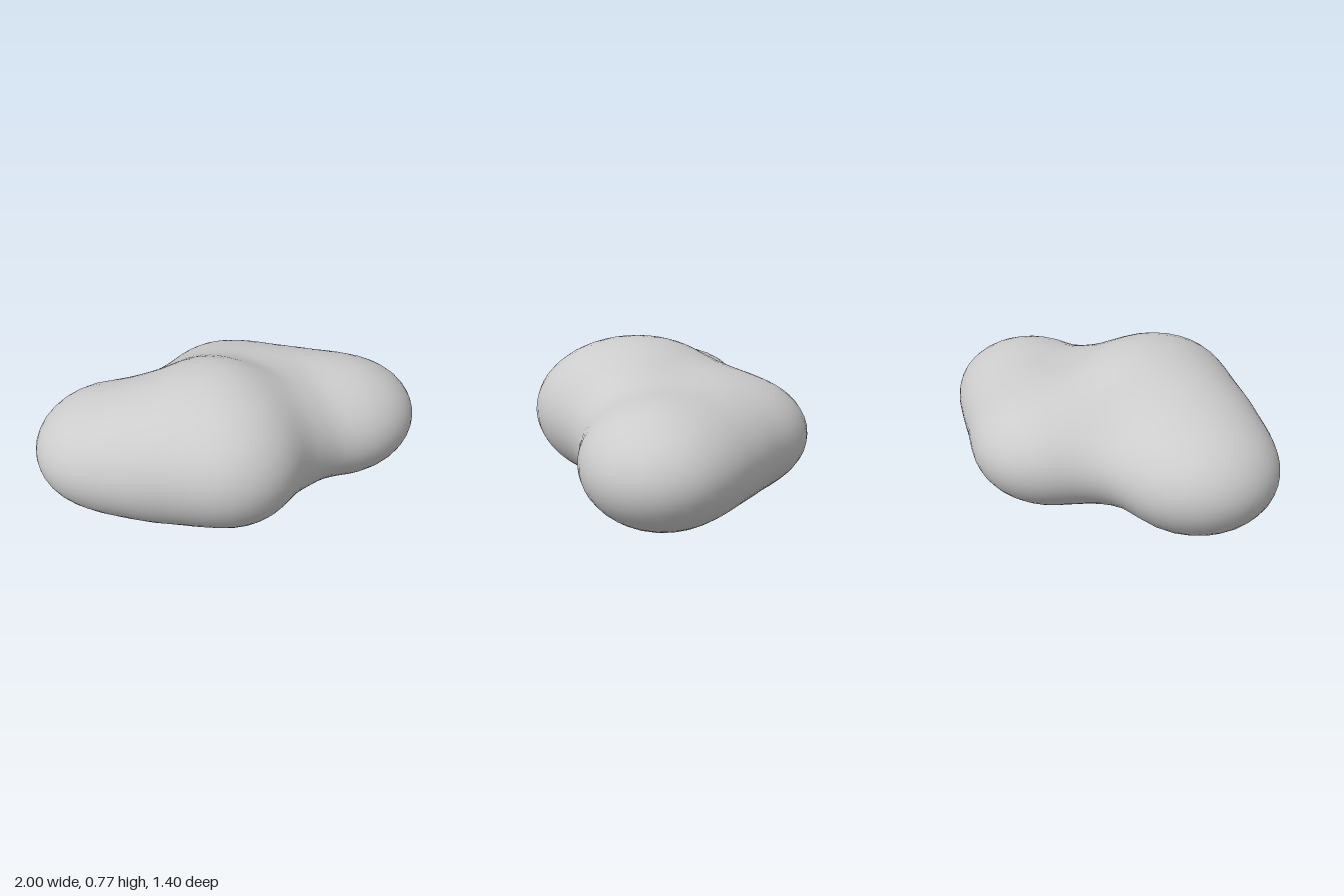
import * as THREE from 'three';
import { mergeVertices } from 'three/addons/utils/BufferGeometryUtils.js';

// Rounded lobes and the webs that fill the hollows between them: centre, radii
const LOBES = [
  [[-0.58, 0.31, -0.05], [0.42, 0.30, 0.40]], // right-hand side lobe
  [[-0.13, 0.38, 0.17], [0.43, 0.38, 0.53]],  // tall front lobe
  [[0.56, 0.31, 0.04], [0.44, 0.30, 0.39]],   // left-hand side lobe
  [[0.10, 0.31, -0.27], [0.42, 0.30, 0.43]],  // back lobe
  [[-0.10, 0.31, -0.03], [0.50, 0.25, 0.40]], // core filling the middle
  [[0.32, 0.31, -0.15], [0.42, 0.27, 0.35]],  // web, back to left
  [[-0.38, 0.34, 0.13], [0.38, 0.31, 0.36]],  // web, front to right
  [[0.16, 0.33, 0.14], [0.35, 0.28, 0.32]],   // web, front to left
];
const BLEND = 0.16;
const ORIGIN = new THREE.Vector3(0, 0.33, 0);
const SPREAD = new THREE.Vector3(1, 0.5, 0.75);

// Signed field of one ellipsoid, roughly in units of length
function ellipsoid(p, [c, r]) {
  const k = Math.hypot((p.x - c[0]) / r[0], (p.y - c[1]) / r[1], (p.z - c[2]) / r[2]);
  return (k - 1) * 0.38;
}

// Smooth union of all lobes
function field(p) {
  return LOBES.reduce((d, lobe) => {
    const e = ellipsoid(p, lobe);
    const h = Math.max(BLEND - Math.abs(d - e), 0) / BLEND;
    return Math.min(d, e) - h * h * BLEND / 4;
  }, 10);
}

// Distance from the middle to the skin along one direction
function skinDistance(dir) {
  const p = new THREE.Vector3();
  const at = (t) => field(p.copy(dir).multiplyScalar(t).add(ORIGIN));
  let lo = 1.3;
  while (lo > 0.05 && at(lo) > 0) lo -= 0.02;
  let hi = lo + 0.02;
  for (let i = 0; i < 14; i++) {
    const mid = (lo + hi) / 2;
    if (at(mid) > 0) hi = mid; else lo = mid;
  }
  return lo;
}

export function createModel() {
  const group = new THREE.Group();
  group.name = 'boulder';

  let geo = new THREE.IcosahedronGeometry(1, 12);
  geo.deleteAttribute('uv');
  geo.deleteAttribute('normal');
  geo = mergeVertices(geo, 1e-4);

  // Push every vertex of a flattened ball out to the blended skin
  const pos = geo.attributes.position;
  const v = new THREE.Vector3();
  for (let i = 0; i < pos.count; i++) {
    v.fromBufferAttribute(pos, i).multiply(SPREAD).normalize();
    v.multiplyScalar(skinDistance(v)).add(ORIGIN);
    pos.setXYZ(i, v.x, v.y, v.z);
  }
  geo.computeVertexNormals();

  const body = new THREE.Mesh(geo, new THREE.MeshStandardMaterial({ color: 0xcccccc }));
  body.name = 'lobedBody';
  group.add(body);
  return group;
}
